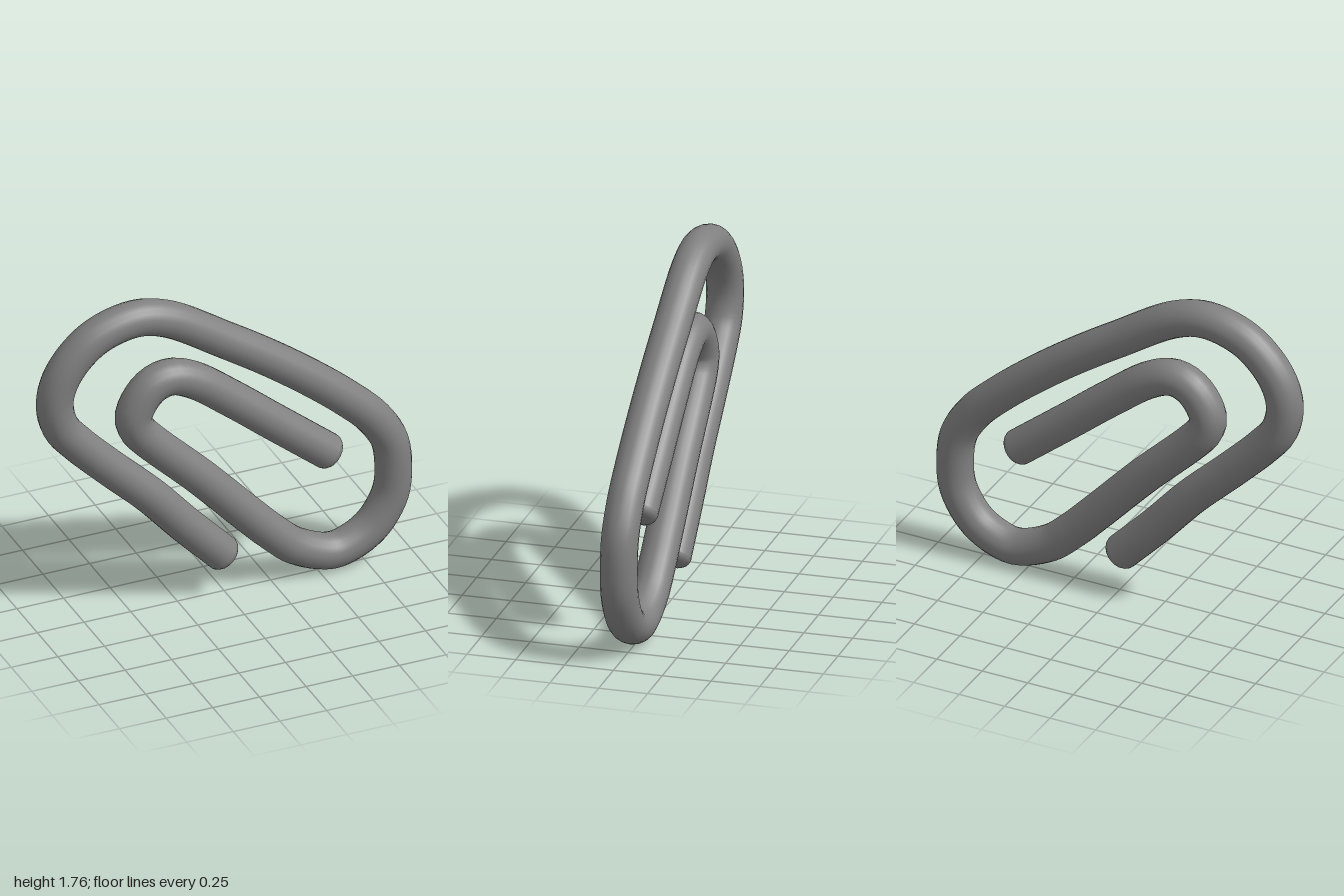
import * as THREE from 'three';

const RADIUS = 0.093;
const SIDES = 20;

// Centreline of the bent wire, from the outer end to the inner end
const PATH = [
  [-0.01, 0.225], [-0.2, 0.425], [-0.4, 0.65], [-0.6, 0.845], [-0.79, 1.04],
  [-0.875, 1.15], [-0.907, 1.28], [-0.885, 1.4], [-0.81, 1.52], [-0.68, 1.625],
  [-0.48, 1.675], [-0.31, 1.635], [0.01, 1.435], [0.26, 1.265], [0.49, 1.09],
  [0.66, 0.945], [0.795, 0.81], [0.885, 0.66], [0.907, 0.5], [0.89, 0.35],
  [0.8, 0.2], [0.69, 0.125], [0.57, 0.098], [0.385, 0.168], [0.26, 0.275],
  [0.13, 0.41], [-0.13, 0.69], [-0.405, 0.965], [-0.465, 1.04], [-0.485, 1.12],
  [-0.435, 1.225], [-0.37, 1.28], [-0.285, 1.297], [-0.165, 1.25], [0.04, 1.095],
  [0.275, 0.9], [0.555, 0.67],
];

export function createModel() {
  const group = new THREE.Group();
  group.name = 'paperclip';
  const steel = new THREE.MeshStandardMaterial({ color: 0x808080 });
  steel.name = 'grey steel';

  // Bent wire
  const curve = new THREE.CatmullRomCurve3(PATH.map(([x, y]) => new THREE.Vector3(x, y, 0)));
  const wire = new THREE.Mesh(new THREE.TubeGeometry(curve, 220, RADIUS, SIDES), steel);
  wire.name = 'wire';
  group.add(wire);

  // Blunt, rounded wire ends
  const profile = [[1, 0], [0.96, 0.014], [0.86, 0.027], [0.68, 0.036], [0.4, 0.041], [0, 0.043]]
    .map(([r, h]) => new THREE.Vector2(r * RADIUS, h));
  const capGeometry = new THREE.LatheGeometry(profile, SIDES);
  const up = new THREE.Vector3(0, 1, 0);
  for (const [name, t, sign] of [['outerEnd', 0, -1], ['innerEnd', 1, 1]]) {
    const cap = new THREE.Mesh(capGeometry, steel);
    cap.name = name;
    cap.position.copy(curve.getPointAt(t));
    cap.quaternion.setFromUnitVectors(up, curve.getTangentAt(t).multiplyScalar(sign));
    group.add(cap);
  }
  return group;
}
